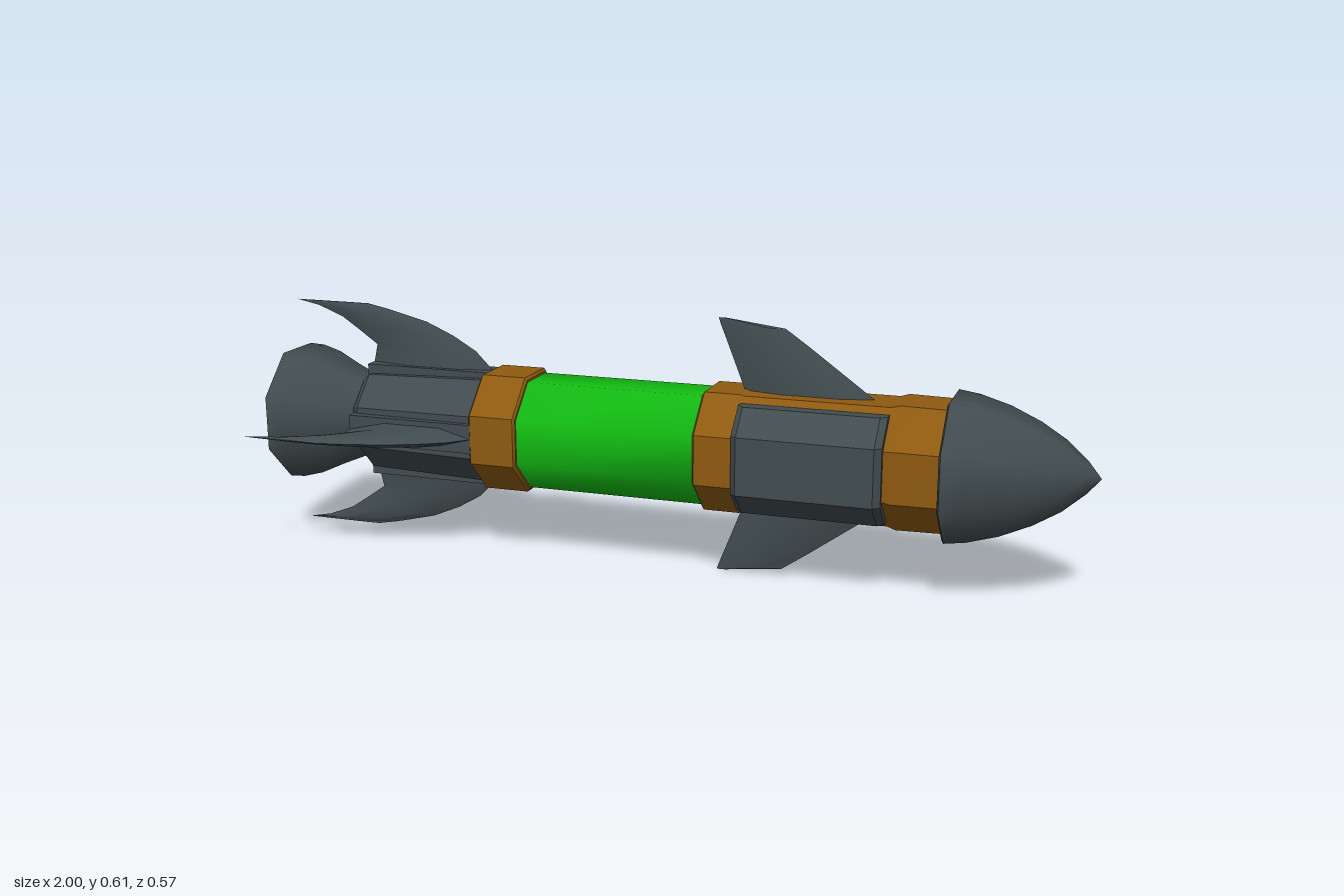
import * as THREE from 'three';
import { toCreasedNormals } from 'three/addons/utils/BufferGeometryUtils.js';

const AXIS_Y = 0.309;
const SMOOTH = 0.9, FACETED = 0.5;

export function createModel() {
  const model = new THREE.Group();
  model.name = 'rocket';
  const body = new THREE.Group();
  body.name = 'rocketBody';
  body.position.y = AXIS_Y;
  model.add(body);

  const mat = (name, color) => {
    const m = new THREE.MeshStandardMaterial({ color });
    m.name = name;
    return m;
  };
  const steel = mat('darkSteel', 0x414c4f);
  const bronze = mat('bronze', 0x8f5a10);
  const green = mat('green', 0x12b812);

  const add = (name, geometry, material, parent = body) => {
    const mesh = new THREE.Mesh(geometry, material);
    mesh.name = name;
    parent.add(mesh);
    return mesh;
  };

  // Eight-sided turned part along x; profile is [x, distance to flat]
  const turned = (name, profile, material, crease) => {
    const k = 1 / Math.cos(Math.PI / 8);
    const pts = profile.map(([x, r]) => new THREE.Vector2(r * k, x));
    const geo = new THREE.LatheGeometry(pts, 8, Math.PI / 8);
    geo.rotateZ(-Math.PI / 2);
    return add(name, toCreasedNormals(geo, crease), material);
  };

  // Nose, casing and collars
  turned('noseCone', [[0.665, 0], [0.665, 0.155], [0.67, 0.163], [0.72, 0.156], [0.79, 0.137],
    [0.86, 0.108], [0.92, 0.074], [0.97, 0.033], [1, 0]], steel, SMOOTH);
  turned('frontCasing', [[0.1, 0], [0.1, 0.136], [0.105, 0.142], [0.19, 0.142], [0.2, 0.139],
    [0.54, 0.139], [0.56, 0.145], [0.67, 0.143], [0.67, 0]], bronze, FACETED);
  turned('greenTube', [[-0.36, 0.131], [0.12, 0.131]], green, SMOOTH);
  turned('rearCollar', [[-0.46, 0], [-0.46, 0.136], [-0.455, 0.142], [-0.345, 0.142],
    [-0.34, 0.136], [-0.34, 0]], bronze, FACETED);

  // Tail and hollow nozzle
  turned('tailSection', [[-0.79, 0], [-0.79, 0.1], [-0.77, 0.118], [-0.45, 0.127], [-0.45, 0]], steel, FACETED);
  turned('nozzle', [[-0.86, 0], [-0.88, 0.08], [-0.93, 0.125], [-1, 0.152], [-1, 0.16], [-0.96, 0.158],
    [-0.91, 0.145], [-0.85, 0.118], [-0.78, 0.09]], steel, SMOOTH);

  // Side panels wrapped over three flats, with chamfered ends
  const panelShape = (d) => [[-0.125, 0.055], [-0.125, 0.106 - d], [-0.068, 0.164 - d],
    [0.068, 0.164 - d], [0.125, 0.106 - d], [0.125, 0.055]];
  const panelGeo = toCreasedNormals(loft([
    [0.195, 0.015], [0.21, 0], [0.525, 0], [0.54, 0.015],
  ].map(([x, d]) => panelShape(d).map(([y, z]) => [x, y, z]))), FACETED);
  for (const side of [1, -1]) {
    const panel = add(side > 0 ? 'frontPanel' : 'backPanel', panelGeo, steel);
    panel.rotation.x = side > 0 ? 0 : Math.PI;
  }

  // Fin from sections [height, rear x, front x, half thickness]
  const finGeo = (sections) => toCreasedNormals(loft(sections.map(([h, a, b, t]) => {
    const p = a + (b - a) * 0.3, q = a + (b - a) * 0.75;
    return [[a, h, 0], [p, h, t], [q, h, t], [b, h, 0], [q, h, -t], [p, h, -t]];
  })), FACETED);

  const tailFin = finGeo([[0.1, -0.79, -0.44, 0.028], [0.14, -0.78, -0.455, 0.022],
    [0.185, -0.77, -0.5, 0.017], [0.22, -0.82, -0.56, 0.013], [0.25, -0.865, -0.63, 0.01],
    [0.275, -0.93, -0.73, 0.006], [0.287, -0.99, -0.79, 0.001]]);
  const rootBlock = new THREE.BoxGeometry(0.325, 0.07, 0.07);
  for (let i = 0; i < 4; i++) {
    const arm = new THREE.Group();
    arm.name = 'tailFin' + (i + 1);
    arm.rotation.x = i * Math.PI / 2;
    body.add(arm);
    add('finBlade', tailFin, steel, arm);
    add('finRoot', rootBlock, steel, arm).position.set(-0.617, 0.106, 0);
  }

  const frontFin = finGeo([[0.1, 0.2, 0.54, 0.022], [0.14, 0.185, 0.49, 0.019],
    [0.25, 0.142, 0.338, 0.011], [0.29, 0.126, 0.28, 0.005], [0.307, 0.12, 0.14, 0.001]]);
  for (let i = 0; i < 2; i++) {
    add(i ? 'lowerFrontFin' : 'upperFrontFin', frontFin, steel).rotation.x = i * Math.PI;
  }

  return model;
}

// Skin a list of equal-length closed convex loops and cap both ends
function loft(loops) {
  const n = loops[0].length, index = [];
  for (let s = 0; s < loops.length - 1; s++) {
    for (let i = 0; i < n; i++) {
      const a = s * n + i, b = s * n + (i + 1) % n;
      index.push(a, b, b + n, a, b + n, a + n);
    }
  }
  const last = (loops.length - 1) * n;
  for (let i = 1; i < n - 1; i++) {
    index.push(0, i + 1, i, last, last + i, last + i + 1);
  }
  // Turn the faces outward if the enclosed volume comes out negative
  const pts = loops.flat().map((p) => new THREE.Vector3(...p));
  let volume = 0;
  for (let i = 0; i < index.length; i += 3) {
    volume += pts[index[i]].dot(pts[index[i + 1]].clone().cross(pts[index[i + 2]]));
  }
  if (volume < 0) index.reverse();
  const geo = new THREE.BufferGeometry().setFromPoints(pts);
  geo.setIndex(index);
  return geo;
}
